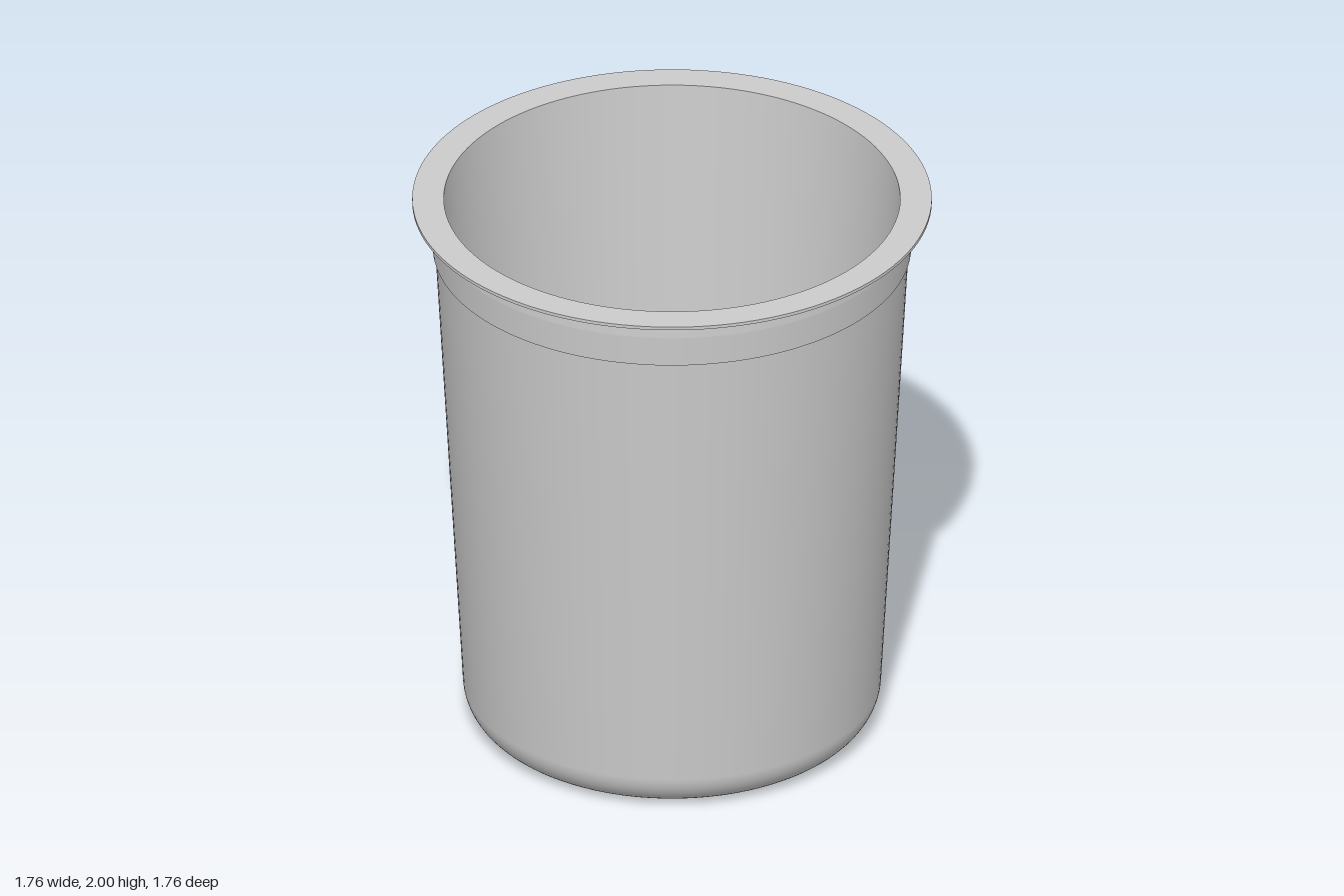
import * as THREE from 'three';

const material = new THREE.MeshStandardMaterial({ color: 0xcccccc });
const SEGMENTS = 128;
const WALL_TILT = 0.057;

// Flat base running into a rounded corner that ends tangent to the flared wall
function roundedBase(flatRadius, floorY, cornerRadius, steps = 14) {
  const points = [[0, floorY], [flatRadius - 0.01, floorY]];
  for (let i = 0; i <= steps; i++) {
    const a = -Math.PI / 2 + (Math.PI / 2 - WALL_TILT) * (i / steps);
    points.push([
      flatRadius + cornerRadius * Math.cos(a),
      floorY + cornerRadius * (1 + Math.sin(a)),
    ]);
  }
  return points;
}

// One smooth run of the profile; separate runs keep the edges between them sharp
function turned(name, points) {
  const profile = points.map(([r, y]) => new THREE.Vector2(r, y));
  const mesh = new THREE.Mesh(new THREE.LatheGeometry(profile, SEGMENTS), material);
  mesh.name = name;
  return mesh;
}

export function createModel() {
  const cup = new THREE.Group();
  cup.name = 'cup';

  // Outside, from the base up to the rim
  cup.add(turned('outerWall', [...roundedBase(0.57, 0, 0.14), [0.804, 1.81]]));
  cup.add(turned('bandStep', [[0.804, 1.81], [0.812, 1.81]]));
  cup.add(turned('band', [[0.812, 1.81], [0.818, 1.92]]));
  cup.add(turned('neck', [[0.818, 1.92], [0.815, 1.988]]));

  // Thin flat rim
  cup.add(turned('rimUnderside', [[0.815, 1.988], [0.882, 1.988]]));
  cup.add(turned('rimEdge', [[0.882, 1.988], [0.882, 2]]));
  cup.add(turned('rimTop', [[0.882, 2], [0.775, 2]]));

  // Inside, from the rim down to the floor
  cup.add(turned('innerWall', [[0.775, 2], ...roundedBase(0.57, 0.04, 0.1).reverse()]));

  return cup;
}
